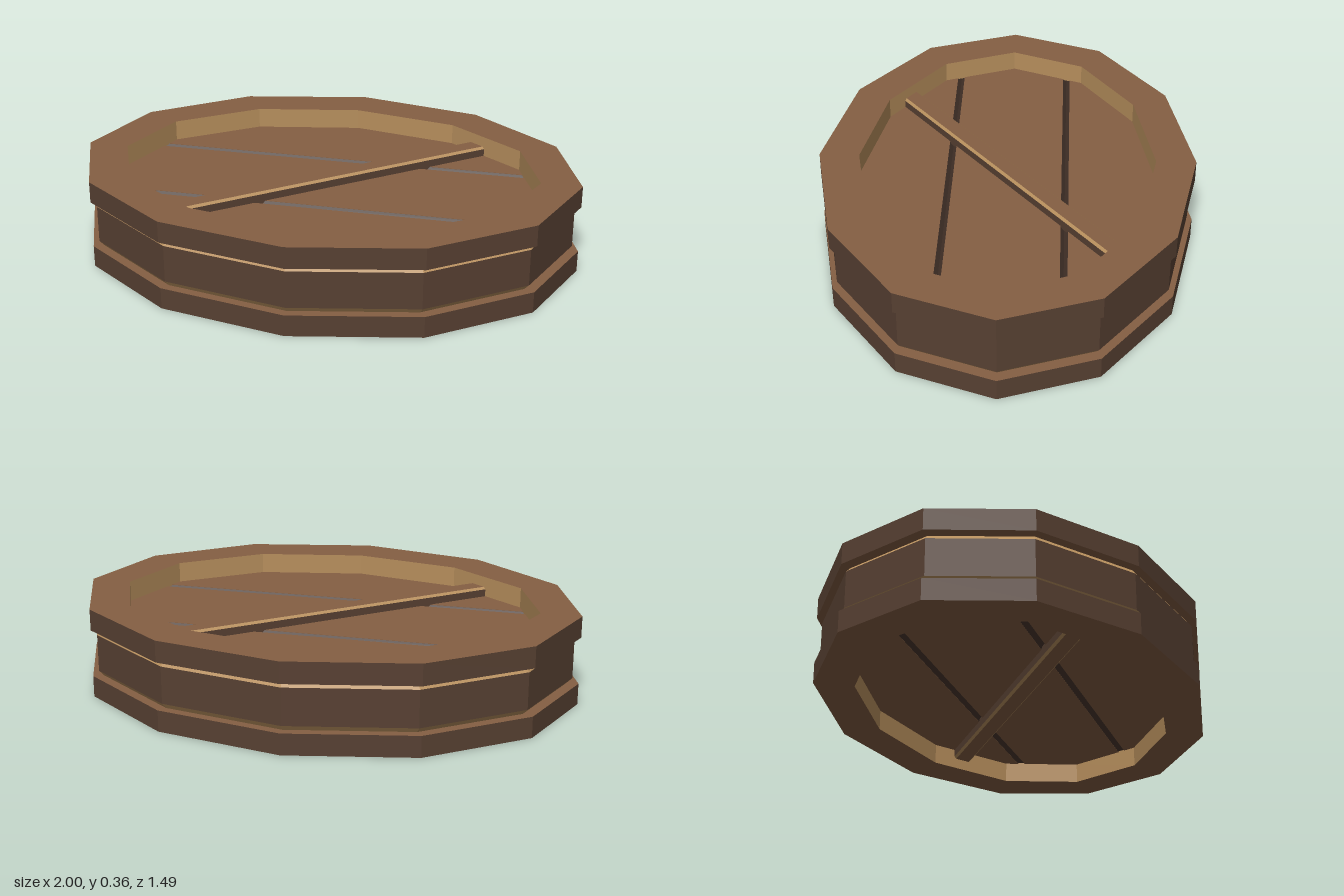
import * as THREE from 'three';

const HEIGHT = 0.363, FLOOR = 0.281, SIDES = 12;
const GROOVE_Z = 0.23, GROOVE_HALF = 0.014;

const flat = (name, color) =>
  new THREE.MeshStandardMaterial({ name, color, flatShading: true });

// Points of a twelve-sided oval
const oval = (rx, rz) => Array.from({ length: SIDES }, (_, i) => {
  const a = (i / SIDES) * Math.PI * 2;
  return new THREE.Vector2(rx * Math.cos(a), rz * Math.sin(a));
});

// Part of the oval lying between two z lines
function ovalBand(rx, rz, z0, z1) {
  const clip = (pts, keep, line) => pts.flatMap((p, i) => {
    const q = pts[(i + 1) % pts.length];
    const out = keep(p.y) ? [p] : [];
    if (keep(p.y) !== keep(q.y)) out.push(p.clone().lerp(q, (line - p.y) / (q.y - p.y)));
    return out;
  });
  return clip(clip(oval(rx, rz), (z) => z > z0, z0), (z) => z < z1, z1);
}

// Extrude an outline lying in the ground plane upward from y
function slab(shape, y, depth) {
  return new THREE.ExtrudeGeometry(shape, { depth, bevelEnabled: false })
    .rotateX(-Math.PI / 2).translate(0, y, 0);
}

// Sort triangles into material groups: level, upright, sloping, inward-facing
function groupByFacing(source) {
  const geo = source.index ? source.toNonIndexed() : source;
  geo.computeVertexNormals();
  geo.clearGroups();
  const { position: p, normal: n } = geo.attributes;
  for (let i = 0; i < p.count; i += 3) {
    const ny = Math.abs(n.getY(i));
    const inward = n.getX(i) * p.getX(i) + n.getZ(i) * p.getZ(i) < 0;
    geo.addGroup(i, 3, ny > 0.95 ? 0 : ny > 0.1 ? 2 : inward ? 3 : 1);
  }
  return geo;
}

export function createModel() {
  const model = new THREE.Group();
  model.name = 'ovalWoodenHatch';

  const wood = flat('brownWood', 0x855f43);
  const side = flat('darkWoodSide', 0x574032);
  const edge = flat('tanEdge', 0xb68e5c);
  const grooveMat = flat('darkGroove', 0x45332a);

  const add = (parent, name, geo, mat) => {
    const mesh = new THREE.Mesh(geo, mat);
    mesh.name = name;
    parent.add(mesh);
    return mesh;
  };

  // Middle band with chamfered edges
  const profile = [[0.95, 0.082], [0.975, 0.107], [0.975, 0.256], [0.95, 0.281]]
    .map(([r, y]) => new THREE.Vector2(r, y));
  const band = new THREE.LatheGeometry(profile, SIDES).scale(1, 1, 0.744);
  add(model, 'middleBand', groupByFacing(band), [wood, side, edge, edge]);

  // One face of the hatch: rim, planks, grooves and diagonal brace
  function face(name, braceAngle) {
    const g = new THREE.Group();
    g.name = name;

    const rimShape = new THREE.Shape(oval(1, 0.745));
    rimShape.holes.push(new THREE.Path(oval(0.84, 0.587)));
    const rim = slab(rimShape, 0.277, HEIGHT - 0.277);
    add(g, 'rim', groupByFacing(rim), [wood, side, edge, edge]);

    const inner = GROOVE_Z - GROOVE_HALF, outer = GROOVE_Z + GROOVE_HALF;
    for (const [z0, z1] of [[-1, -outer], [-inner, inner], [outer, 1]]) {
      const plank = new THREE.Shape(ovalBand(0.91, 0.66, z0, z1));
      add(g, 'plank', slab(plank, FLOOR - 0.04, 0.04), wood);
    }

    // V-shaped grooves between the planks
    const w = GROOVE_HALF;
    const vee = new THREE.Shape([[-w, -0.035], [w, -0.035], [w, -0.001], [0, -0.02], [-w, -0.001]]
      .map(([x, y]) => new THREE.Vector2(x, y)));
    for (const s of [-1, 1]) {
      const geo = new THREE.ExtrudeGeometry(vee, { depth: 1.6, bevelEnabled: false })
        .translate(0, 0, -0.8).rotateY(Math.PI / 2);
      add(g, 'plankGroove', geo, grooveMat).position.set(0, FLOOR, s * GROOVE_Z);
    }

    // Diagonal brace with chamfered edges, its ends let into the rim
    const section = new THREE.Shape(
      [[-0.04, -0.01], [0.04, -0.01], [0.04, 0.03], [0.031, 0.039], [-0.031, 0.039], [-0.04, 0.03]]
        .map(([x, y]) => new THREE.Vector2(x, y)));
    const bar = new THREE.ExtrudeGeometry(section, { depth: 1.5, bevelEnabled: false })
      .translate(0, 0, -0.75).rotateY(Math.PI / 2);
    const brace = add(g, 'diagonalBrace', groupByFacing(bar), [wood, side, edge, side]);
    brace.position.y = FLOOR;
    brace.rotation.y = braceAngle;

    model.add(g);
    return g;
  }

  const angle = Math.atan2(0.425, 0.53);
  face('topFace', angle);
  // Turned over; the opposite angle keeps both braces parallel
  const bottom = face('bottomFace', -angle);
  bottom.rotation.x = Math.PI;
  bottom.position.y = HEIGHT;

  return model;
}
